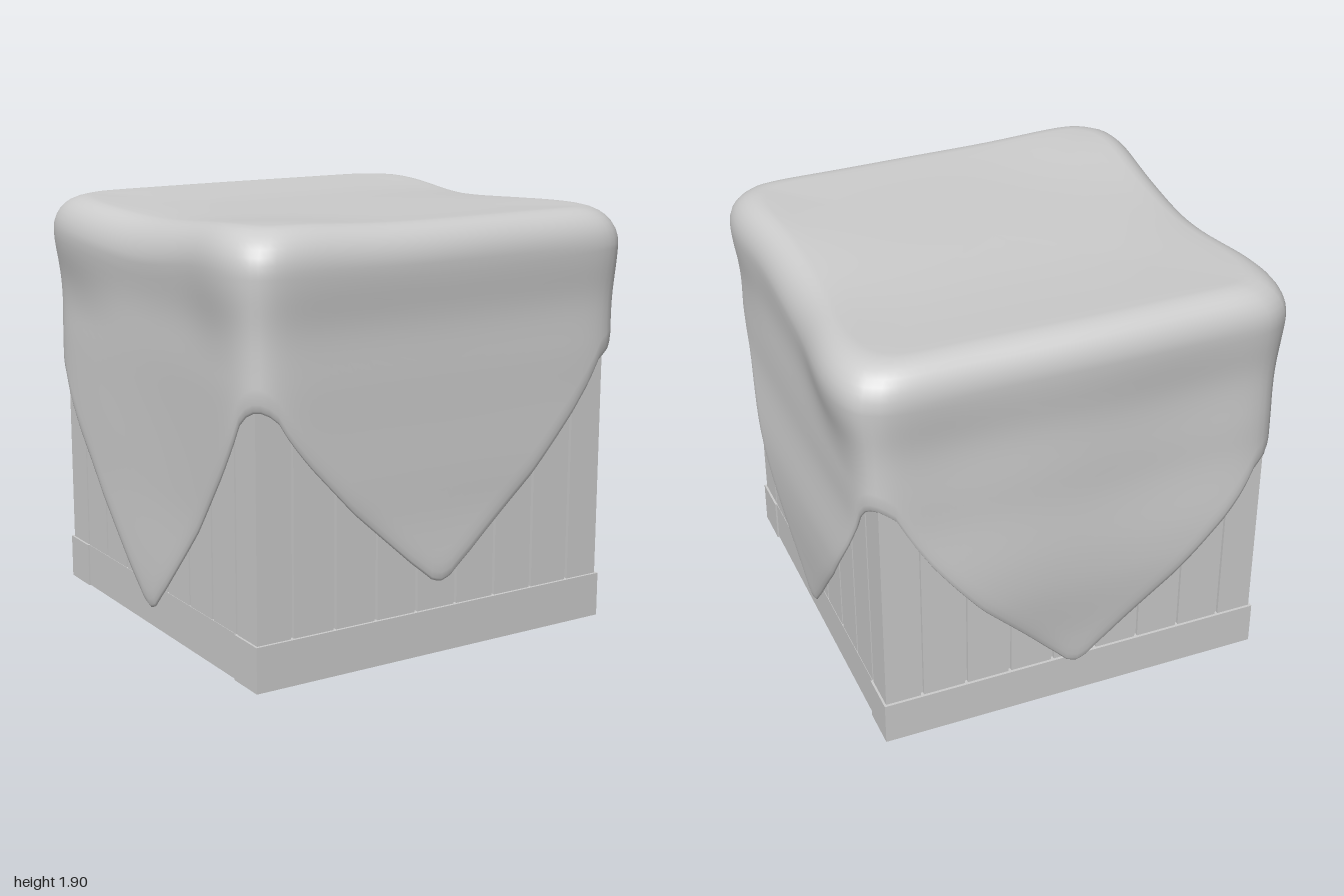
import * as THREE from 'three';

const material = new THREE.MeshStandardMaterial({ color: 0xcccccc });
const clothMaterial = new THREE.MeshStandardMaterial({ color: 0xcccccc, side: THREE.DoubleSide });

function box(parent, name, size, pos) {
  const mesh = new THREE.Mesh(new THREE.BoxGeometry(...size), material);
  mesh.position.set(...pos);
  mesh.name = name;
  parent.add(mesh);
}

// Wooden crate: recessed core, plank walls, base frame and plank floor
function buildCrate() {
  const crate = new THREE.Group();
  crate.name = 'crate';
  box(crate, 'core', [1.74, 1.72, 1.74], [0, 0.92, 0]);

  const half = 0.885, pitch = 0.205, gap = 0.014, top = 1.78, low = 0.19;
  for (let side = 0; side < 4; side++) {
    const wall = new THREE.Group();
    wall.name = 'plankWall';
    wall.rotation.y = side * Math.PI / 2;
    for (let i = 0; i < 9; i++) {
      const a = i === 0 ? -half : (i - 4.5) * pitch + gap / 2;
      const b = i === 8 ? half : (i - 3.5) * pitch - gap / 2;
      box(wall, 'wallPlank', [b - a, top - low, 0.04], [(a + b) / 2, (top + low) / 2, half - 0.02]);
    }
    crate.add(wall);
  }

  for (const s of [-1, 1]) {
    box(crate, 'baseBeam', [1.79, 0.2, 0.185], [0, 0.1, s * 0.805]);
    box(crate, 'baseSideRail', [0.18, 0.2, 1.46], [s * 0.797, 0.1, 0]);
  }
  for (let i = 0; i < 7; i++) {
    box(crate, 'floorPlank', [1.46, 0.04, 0.193], [0, 0.05, (i - 3) * pitch]);
  }
  crate.position.set(-0.005, 0, -0.014);
  return crate;
}

const lerp = THREE.MathUtils.lerp;
const smooth = THREE.MathUtils.smoothstep;
const bump = (v, width) => Math.exp(-((v / width) ** 2));

// Hem rise from flap tip (0) to crate corner (1)
const HEM = [[0, 0], [0.05, 0.015], [0.1, 0.06], [0.17, 0.12], [0.5, 0.43], [0.75, 0.71], [0.85, 0.84], [0.92, 0.96], [1, 1]];
function hemRise(d) {
  d = Math.min(Math.abs(d), 1);
  let i = 1;
  while (i < HEM.length - 1 && d > HEM[i][0]) i++;
  const [a, fa] = HEM[i - 1], [b, fb] = HEM[i];
  return lerp(fa, fb, (d - a) / (b - a));
}

// Each face: flap tip position and height, hem height at its - and + corners,
// and how far the flap stands out at its middle and at its tip
const FACES = {
  front: { tip: -0.04, low: 0.35, corners: [1.18, 1.24], mid: 0.955, end: 0.975 },
  back: { tip: -0.01, low: 0.17, corners: [1.04, 1.22], mid: 0.968, end: 0.93 },
  right: { tip: -0.09, low: 0.21, corners: [1.22, 1.24], mid: 0.982, end: 0.958 },
  left: { tip: 0.04, low: 0.13, corners: [1.04, 1.18], mid: 0.95, end: 0.962 },
};
const onSide = (x, z) => Math.abs(x) > Math.abs(z);
function faceAt(x, z) {
  return FACES[onSide(x, z) ? (x > 0 ? 'right' : 'left') : (z > 0 ? 'front' : 'back')];
}

function hemHeight(x, z) {
  const { tip, low, corners } = faceAt(x, z);
  const u = (onSide(x, z) ? z : x) * 0.95;
  const span = u < tip ? tip + 0.905 : 0.905 - tip;
  const edge = u < tip ? corners[0] : corners[1];
  return lerp(low, edge, hemRise((u - tip) / span));
}

// Top of the cloth: raised rim, a sag across it and dips in the middle of the side edges
function topHeight(x, z) {
  const rim = Math.max(Math.abs(x), Math.abs(z)) ** 4;
  return 1.862 + 0.024 * rim - 0.012 * bump(z + 0.35, 0.35)
    - 0.055 * x ** 4 * bump(z + 0.05, 0.45)
    + 0.025 * bump(x + 0.75, 0.35) * bump(z - 0.75, 0.35);
}

// Half-width of the hanging cloth: full near the rim, drawn in below it, loose at the flaps
function halfWidth(x, z, y) {
  const { mid, end } = faceAt(x, z);
  const inner = 1 - Math.min(Math.abs(x), Math.abs(z)) ** 10;
  const rim = smooth(y, 1.3, 1.7);
  const swell = onSide(x, z) ? 0.05 * bump(z + 0.65, 0.35) + 0.025 * bump(z - 0.75, 0.25) : 0.012;
  let w = 0.949 + rim * (0.006 + swell * inner);
  w -= 0.012 * bump(y - 1.5, 0.15) * inner;
  w = lerp(w, mid, 1 - smooth(y, 0.75, 1.15));
  w = lerp(w, end, 1 - smooth(y, 0.2, 0.7));
  return w + Math.sin(5 * x + 3 * z + 3 * y) * 0.004 * inner;
}

// Draped cloth: rings from the middle of the top, over the rim, down to the hem and back up inside
function buildCloth() {
  const columns = 240, rows = [];
  for (let i = 0; i <= 12; i++) rows.push({ k: 0.85 * i / 12, drop: 0 });
  for (let i = 1; i <= 8; i++) {
    const a = i / 8 * Math.PI / 2;
    rows.push({ k: 0.85 + 0.15 * Math.sin(a), drop: 0.17 * (1 - Math.cos(a)) });
  }
  for (let i = 1; i <= 24; i++) rows.push({ t: i / 24 });
  const hem = [[0.04, 0.003], [0.012, 0.008], [0, 0.016], [0.01, 0.024], [0.06, 0.03], [0.25, 0.032]];
  for (const [lift, inset] of hem) rows.push({ lift, inset });

  const positions = [], index = [];
  rows.forEach((row, r) => {
    for (let j = 0; j < columns; j++) {
      const a = (j + 0.5) / columns * Math.PI * 2;
      const c = Math.cos(a), s = Math.sin(a);
      const m = 1 / Math.pow(Math.abs(c) ** 14 + Math.abs(s) ** 14, 1 / 14);
      const x = c * m, z = s * m, hemY = hemHeight(x, z);
      const k = row.k ?? 1;
      const rimY = topHeight(x * k, z * k) - 0.17;
      let y, w;
      if (row.k !== undefined) {
        y = rimY + 0.17 - row.drop;
        w = halfWidth(x, z, rimY) * k;
      } else if (row.t !== undefined) {
        y = lerp(rimY, hemY + 0.08, row.t);
        w = halfWidth(x, z, y);
      } else {
        y = hemY + row.lift;
        w = halfWidth(x, z, y) - row.inset;
      }
      positions.push(x * w, y, z * w);
      if (r < rows.length - 1) {
        const n = (j + 1) % columns, p = r * columns, q = p + columns;
        index.push(p + j, p + n, q + j, p + n, q + n, q + j);
      }
    }
  });
  const geometry = new THREE.BufferGeometry();
  geometry.setAttribute('position', new THREE.Float32BufferAttribute(positions, 3));
  geometry.setIndex(index);
  geometry.computeVertexNormals();
  const cloth = new THREE.Mesh(geometry, clothMaterial);
  cloth.name = 'drapedCloth';
  return cloth;
}

export function createModel() {
  const model = new THREE.Group();
  model.name = 'coveredCrate';
  model.add(buildCrate(), buildCloth());
  return model;
}
